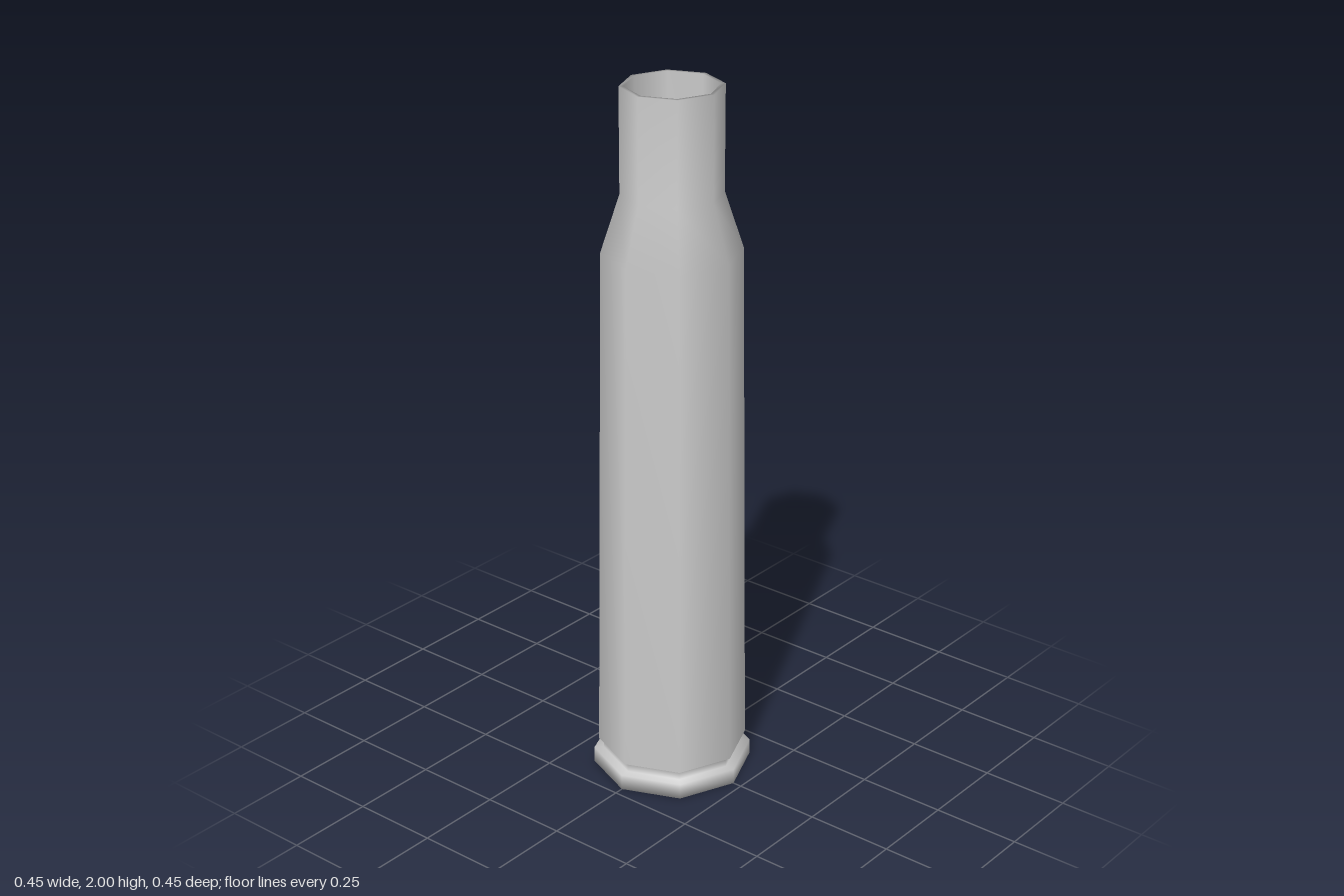
import * as THREE from 'three';

const SIDES = 8;

// Radius / height pairs, from the centre of the base up the outside and down the bore
const PROFILE = [
  [0, 0],
  [0.224, 0], [0.224, 0.045],       // base rim
  [0.196, 0.045], [0.196, 0.075],   // extractor groove
  [0.21, 0.075], [0.19, 1.55],      // tapered body
  [0.138, 1.71], [0.138, 2],        // shoulder and neck
  [0.126, 2], [0.126, 0.1],         // mouth and bore
  [0, 0.1],                         // bore floor
];

export function createModel() {
  const group = new THREE.Group();
  group.name = 'cartridgeCase';

  // One continuous smooth-shaded eight-sided shell
  const points = PROFILE.map(([r, y]) => new THREE.Vector2(r, y));
  const shell = new THREE.Mesh(
    new THREE.LatheGeometry(points, SIDES),
    new THREE.MeshStandardMaterial({ color: 0xcccccc })
  );
  shell.name = 'caseShell';
  group.add(shell);

  return group;
}
